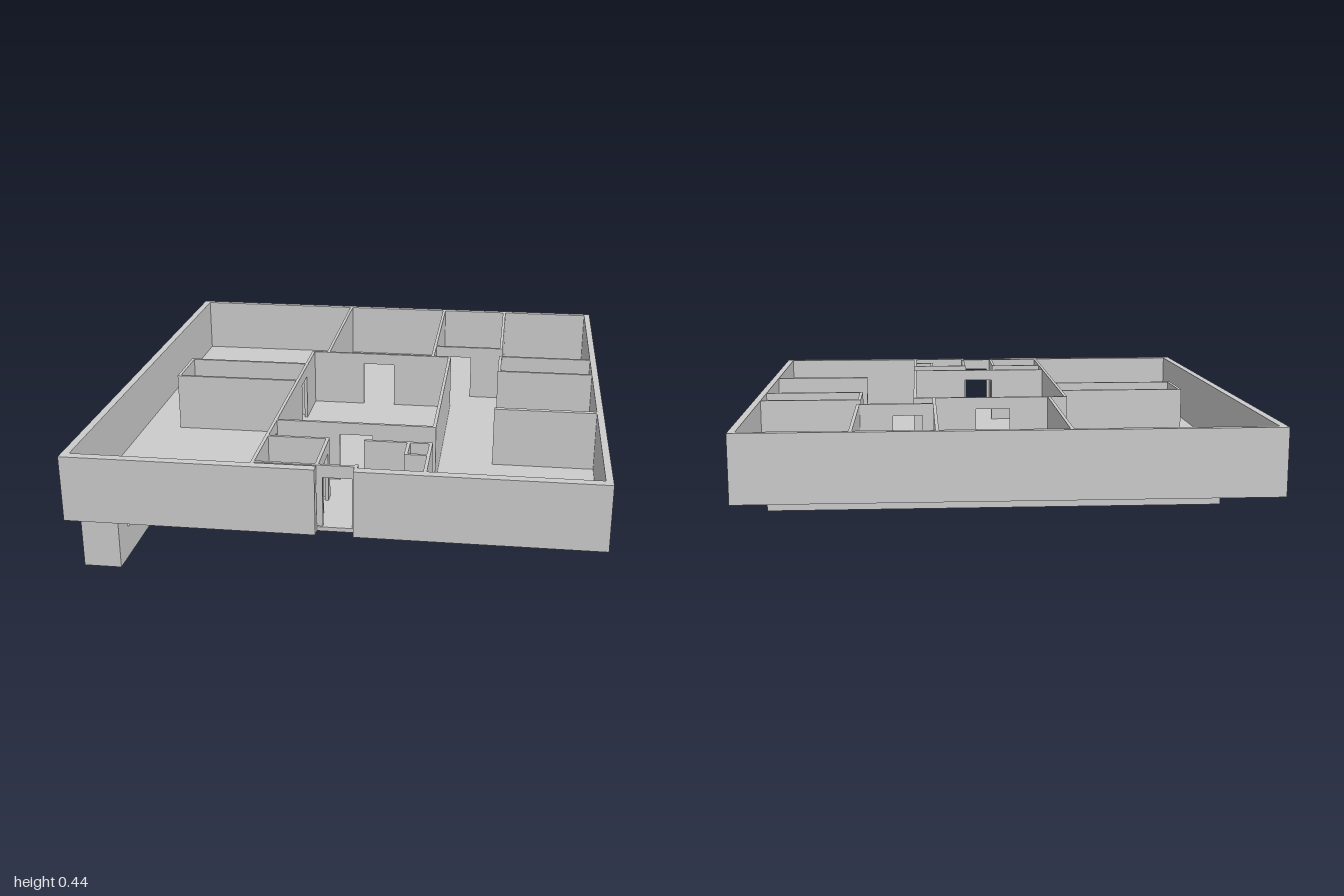
import * as THREE from 'three';

const BASE = 0.205, FLOOR = 0.22, DOOR_TOP = 0.4, TOP = 0.445;
const T = 0.012; // partition thickness

export function createModel() {
  const model = new THREE.Group();
  const material = new THREE.MeshStandardMaterial({ color: 0xcccccc, flatShading: true });

  const add = (name, geometry, parent = model) => {
    const mesh = new THREE.Mesh(geometry, material);
    mesh.name = name;
    parent.add(mesh);
    return mesh;
  };

  // Horizontal slab from plan points [x, z], with optional holes
  const toPlan = (pts) => pts.map(([x, z]) => new THREE.Vector2(x, -z));
  const rect = (x0, x1, z0, z1) => [[x0, z0], [x1, z0], [x1, z1], [x0, z1]];
  function slab(name, pts, y0, y1, holes = []) {
    const shape = new THREE.Shape(toPlan(pts));
    holes.forEach((h) => shape.holes.push(new THREE.Path(toPlan(h))));
    const g = new THREE.ExtrudeGeometry(shape, { depth: y1 - y0, bevelEnabled: false });
    g.rotateX(-Math.PI / 2).translate(0, y0, 0);
    return add(name, g);
  }

  // Partition along x or z at a fixed position, with an optional doorway [from, to]
  function partition(name, axis, at, from, to, door) {
    const wall = new THREE.Group();
    wall.name = name;
    const piece = (a, b, y0, y1) => {
      const g = axis === 'x'
        ? new THREE.BoxGeometry(b - a, y1 - y0, T)
        : new THREE.BoxGeometry(T, y1 - y0, b - a);
      const mid = (a + b) / 2, y = (y0 + y1) / 2;
      if (axis === 'x') g.translate(mid, y, at);
      else g.translate(at, y, mid);
      add(name + 'Panel', g, wall);
    };
    if (door) {
      piece(from, door[0], FLOOR, TOP);
      piece(door[0], door[1], DOOR_TOP, TOP);
      piece(door[1], to, FLOOR, TOP);
    } else piece(from, to, FLOOR, TOP);
    model.add(wall);
  }

  // Shaft openings that drop into the tunnel
  const frontShaft = rect(-0.86, -0.775, 0.84, 0.925);
  const sideShaft = rect(0.815, 0.893, -0.248, -0.17);

  // Floor, notched at the entrance
  slab('floor', [
    [-0.935, -1], [0.93, -1], [0.93, 1], [0.08, 1], [0.08, 0.965],
    [-0.05, 0.965], [-0.05, 1], [-0.935, 1],
  ], BASE, FLOOR, [frontShaft, sideShaft]);

  // Outer wall, one loop broken by the entrance
  slab('outerWall', [
    [-0.05, 1], [-0.935, 1], [-0.935, -1], [0.93, -1], [0.93, 1], [0.08, 1],
    [0.08, 0.965], [0.905, 0.965], [0.905, -0.975], [-0.907, -0.975],
    [-0.907, 0.965], [-0.05, 0.965],
  ], FLOOR, TOP);

  // Central hall
  partition('hallBackWall', 'x', -0.268, -0.275, 0.322, [-0.05, 0.08]);
  partition('hallFrontWall', 'x', 0.555, -0.275, 0.322, [-0.03, 0.09]);
  partition('hallRightWall', 'z', -0.269, -0.262, 0.549, [-0.06, 0.05]);
  partition('hallLeftWall', 'z', 0.316, -0.262, 0.549);

  // Back rooms
  partition('backRoomRightWall', 'z', -0.205, -0.975, -0.274);
  partition('backRoomMiddleWall', 'z', 0.244, -0.975, -0.274);
  partition('backRoomLeftWall', 'z', 0.53, -0.975, -0.405);
  partition('smallRoomFrontWall', 'x', -0.411, 0.25, 0.524, [0.29, 0.4]);

  // Shaft room on the left side
  partition('shaftRoomBackWall', 'x', -0.3, 0.524, 0.905);
  partition('shaftRoomFrontWall', 'x', -0.106, 0.524, 0.905);
  partition('shaftRoomEndWall', 'z', 0.53, -0.294, -0.112, [-0.26, -0.15]);
  partition('sideDivider', 'x', 0.331, 0.524, 0.905);
  partition('sideDividerFace', 'x', 0.339, 0.524, 0.905);

  // Closed side room on the right
  partition('sideRoomBackWall', 'x', -0.099, -0.762, -0.275);
  partition('sideRoomFrontWall', 'x', 0.116, -0.762, -0.275);
  partition('sideRoomEndWall', 'z', -0.756, -0.093, 0.11);

  // Entrance lobby
  partition('lobbyRightWall', 'z', -0.269, 0.561, 0.965, [0.58, 0.7]);
  partition('lobbyClosetBackWall', 'x', 0.715, -0.263, -0.044);
  partition('lobbyClosetSideWall', 'z', -0.05, 0.721, 0.945, [0.75, 0.85]);
  partition('entranceWall', 'x', 0.951, -0.263, 0.09, [-0.03, 0.07]);
  partition('entranceJamb', 'z', 0.084, 0.935, 0.965);
  partition('lobbyNookBackWall', 'x', 0.715, 0.08, 0.322);
  partition('lobbyNookSideWall', 'z', 0.316, 0.721, 0.965);
  partition('nookBoxSideWall', 'z', 0.238, 0.721, 0.82);
  partition('nookBoxFrontWall', 'x', 0.822, 0.232, 0.31);

  // L-shaped tunnel below the floor, with a shaft at each end
  slab('tunnel', [
    [-0.9, -0.255], [0.9, -0.255], [0.9, -0.16], [-0.765, -0.16],
    [-0.765, 0.935], [-0.9, 0.935],
  ], 0, 0.11);
  slab('frontShaft', rect(-0.9, -0.765, 0.835, 0.935), 0.11, BASE, [frontShaft]);
  slab('sideShaft', rect(0.54, 0.9, -0.255, -0.16), 0.11, BASE, [sideShaft]);

  return model;
}
